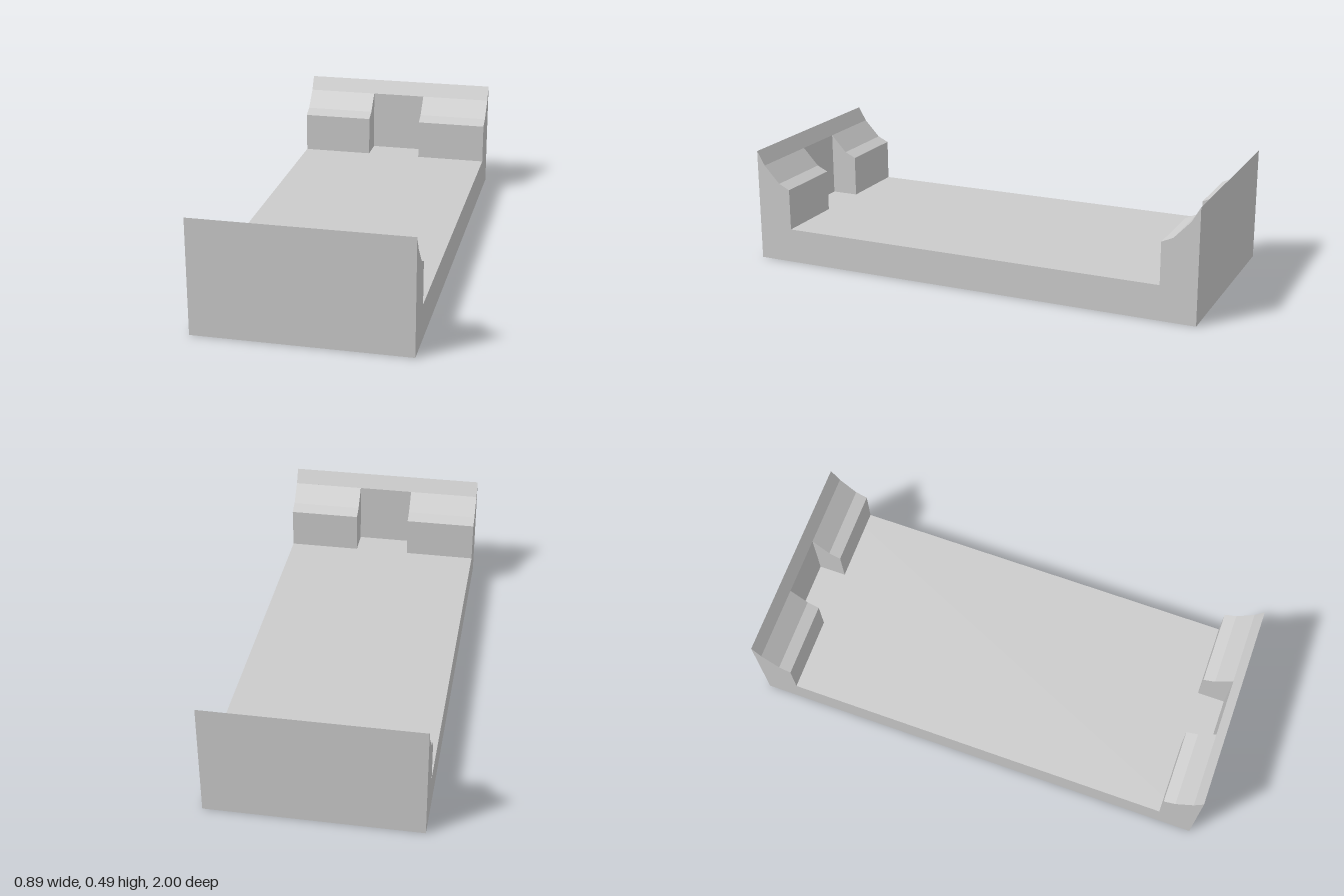
import * as THREE from 'three';

const WIDTH = 0.892;      // full width in x
const FLOOR = 0.15;       // slab thickness
const NOTCH = 0.25;       // width of the gap between the blocks
const WALL_Z = 0.965;     // inner face of the thin end wall
const WALL_Y = 0.428;     // height where wall and blocks meet

const material = new THREE.MeshStandardMaterial({ color: 0xcccccc, flatShading: true });

// Extrudes a (z, y) outline along x, centred on the given x
function profileMesh(name, outline, width, x = 0) {
  const shape = new THREE.Shape(outline.map(([z, y]) => new THREE.Vector2(z, y)));
  const geometry = new THREE.ExtrudeGeometry(shape, { depth: width, bevelEnabled: false });
  geometry.translate(0, 0, -width / 2).rotateY(-Math.PI / 2).translate(x, 0, 0);
  const mesh = new THREE.Mesh(geometry, material);
  mesh.name = name;
  return mesh;
}

// One raised end: a thin outer wall and two curved-top blocks with a gap between
function createEnd(name) {
  const end = new THREE.Group();
  end.name = name;
  end.add(profileMesh('endWall',
    [[WALL_Z, FLOOR], [1, FLOOR], [1, 0.49], [WALL_Z, WALL_Y]], WIDTH));

  const blockOutline = [[0.846, FLOOR], [WALL_Z, FLOOR], [WALL_Z, WALL_Y], [0.895, 0.353], [0.846, 0.33]];
  const blockWidth = (WIDTH - NOTCH) / 2;
  for (const side of [1, -1]) {
    end.add(profileMesh(side > 0 ? 'leftBlock' : 'rightBlock',
      blockOutline, blockWidth, side * (NOTCH + blockWidth) / 2));
  }
  return end;
}

export function createModel() {
  const model = new THREE.Group();
  model.name = 'channelBlock';

  // Flat slab under everything
  const slab = new THREE.Mesh(new THREE.BoxGeometry(WIDTH, FLOOR, 2), material);
  slab.name = 'baseSlab';
  slab.position.y = FLOOR / 2;
  model.add(slab);

  // Matching ends, the back one turned around
  const front = createEnd('frontEnd');
  const back = createEnd('backEnd');
  back.rotation.y = Math.PI;
  model.add(front, back);

  return model;
}
